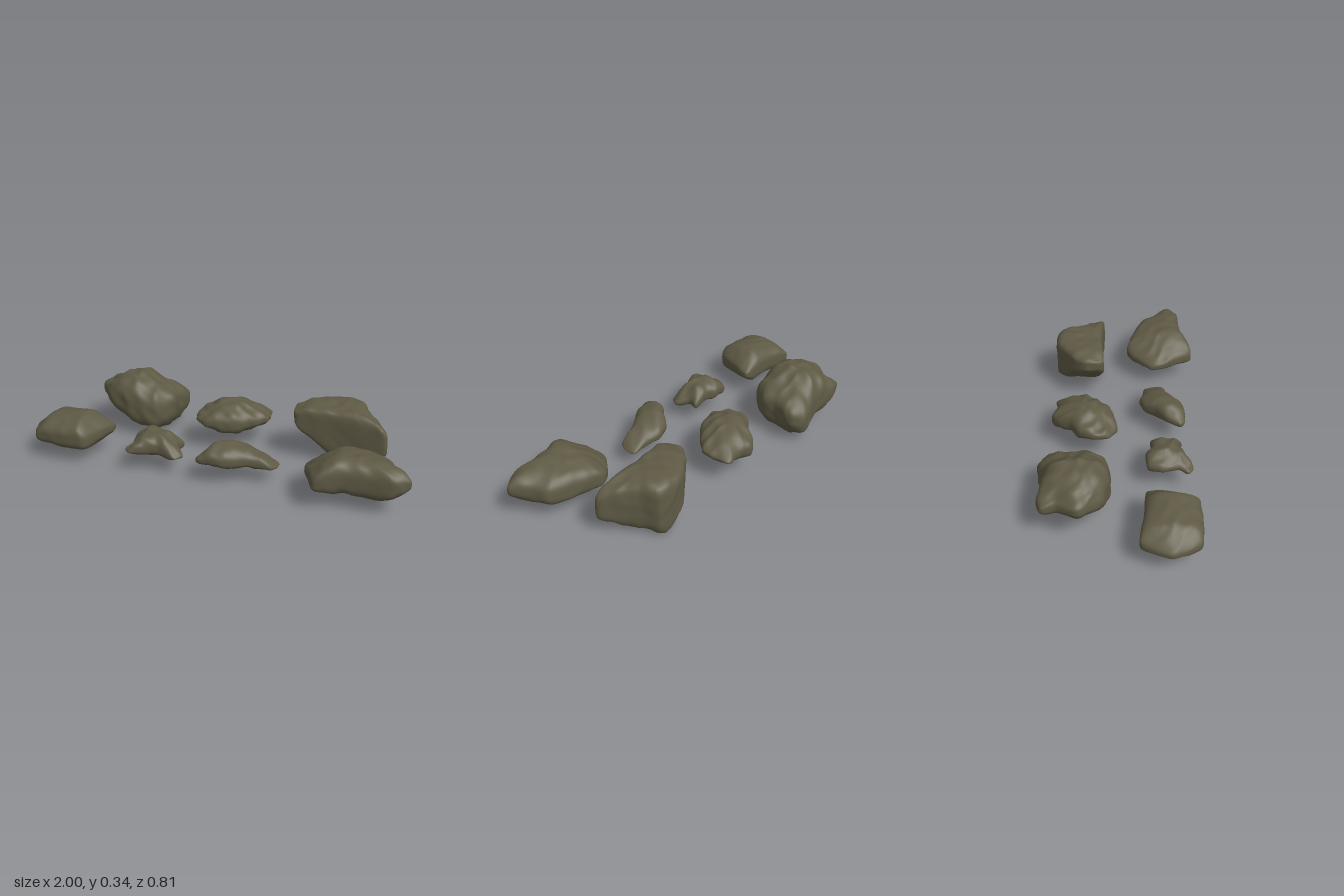
import * as THREE from 'three';
import { mergeVertices } from 'three/addons/utils/BufferGeometryUtils.js';

// Height at t along a few [position, height] points
function sample(points, t) {
  const i = Math.max(1, points.findIndex(([p], k) => k === points.length - 1 || t <= p));
  const [a, ya] = points[i - 1], [b, yb] = points[i];
  return THREE.MathUtils.lerp(ya, yb, THREE.MathUtils.clamp((t - a) / (b - a), 0, 1));
}

// Lumpy, ridged surface variation, roughly -1 to 1
function lumps(x, y, z) {
  const broad = Math.sin(19 * x + 7 * z + 2) * Math.sin(23 * z - 9 * x + 11 * y) + 0.5 * Math.sin(31 * y + 13 * x);
  const ridge = 1 - 2 * Math.abs(Math.sin(27 * x - 21 * z + 17 * y + 1.5 * Math.sin(21 * z + 9 * x)));
  const fine = Math.sin(61 * x + 35 * y) * Math.sin(57 * z - 41 * y + 1);
  return 0.45 * broad + 0.3 * ridge + 0.3 * fine;
}

// outline: plan corners [x, z]; top, bottom: heights along x;
// crest, slope: the top falls away either side of z = crest; square: boxiness of the edges
function rockGeometry({ outline, top, bottom, crest, slope, square, rough }) {
  const around = 96, rings = 40;
  const corners = outline.map(([x, z]) => new THREE.Vector3(x, 0, z));
  const rim = new THREE.CatmullRomCurve3(corners, true, 'catmullrom', 0.25).getSpacedPoints(around).slice(0, around);
  const centre = rim.reduce((sum, p) => sum.add(p), new THREE.Vector3()).divideScalar(around);
  const positions = [], index = [];
  for (let i = 0; i <= rings; i++) {
    // rounded-square section from the underside to the crown
    const angle = (i / rings - 0.5) * Math.PI;
    const c = i % rings ? Math.cos(angle) : 0, s = Math.sin(angle);
    const k = Math.pow(Math.pow(c, square) + Math.pow(Math.abs(s), square), -1 / square);
    const r = c * k, h = s * k;
    for (let j = 0; j < around; j++) {
      const x = centre.x + (rim[j].x - centre.x) * r;
      const z = centre.z + (rim[j].z - centre.z) * r;
      const low = sample(bottom, x);
      const fall = slope * (Math.hypot(z - crest, 0.05) - 0.05);
      const high = Math.max(low + 0.02, sample(top, x) - fall);
      const y = (high + low) / 2 + h * (high - low) / 2;
      const bump = 0.009 * rough * lumps(x, y, z);
      const spread = 1 + bump * 3 * r;
      positions.push(centre.x + (x - centre.x) * spread, Math.max(0, y + bump * h), centre.z + (z - centre.z) * spread);
      if (i < rings) {
        const a = i * around + j, b = i * around + (j + 1) % around;
        index.push(a, a + around, b, b, a + around, b + around);
      }
    }
  }
  const geometry = new THREE.BufferGeometry();
  geometry.setAttribute('position', new THREE.Float32BufferAttribute(positions, 3));
  geometry.setIndex(index);
  const merged = mergeVertices(geometry, 1e-5);
  merged.computeVertexNormals();
  return merged;
}

export function createModel() {
  const stone = new THREE.MeshStandardMaterial({ color: 0x5f5a45 });
  stone.name = 'mossy grey stone';
  const group = new THREE.Group();
  group.name = 'rocks';
  const addRock = (name, shape) => {
    const mesh = new THREE.Mesh(rockGeometry(shape), stone);
    mesh.name = name;
    group.add(mesh);
  };

  // Back row
  addRock('backRightBoulder', {
    outline: [[-0.78, -0.37], [-0.7, -0.39], [-0.57, -0.375], [-0.43, -0.41], [-0.365, -0.36], [-0.385, -0.24], [-0.375, -0.16], [-0.45, -0.065], [-0.6, -0.05], [-0.73, -0.09], [-0.82, -0.2], [-0.77, -0.3]],
    top: [[-0.82, 0.26], [-0.67, 0.325], [-0.58, 0.335], [-0.49, 0.285], [-0.37, 0.27]],
    bottom: [[-0.82, 0.17], [-0.6, 0.045], [-0.42, 0.02], [-0.37, 0.06]],
    crest: -0.18, slope: 0.32, square: 3.2, rough: 1.3,
  });
  addRock('backMiddleRock', {
    outline: [[-0.22, -0.13], [-0.19, -0.21], [-0.12, -0.26], [-0.09, -0.32], [-0.03, -0.36], [0.04, -0.33], [0.13, -0.34], [0.15, -0.19], [0.05, -0.08], [-0.02, -0.04], [-0.14, -0.015], [-0.21, -0.06]],
    top: [[-0.22, 0.215], [-0.1, 0.25], [0, 0.245], [0.15, 0.19]],
    bottom: [[-0.22, 0.13], [0, 0.075], [0.15, 0.12]],
    crest: -0.17, slope: 0.25, square: 2.8, rough: 1.5,
  });
  addRock('backLeftBoulder', {
    outline: [[0.305, -0.19], [0.35, -0.255], [0.47, -0.34], [0.57, -0.36], [0.64, -0.345], [0.68, -0.26], [0.8, -0.12], [0.79, -0.09], [0.55, -0.1], [0.34, -0.09], [0.315, -0.11]],
    top: [[0.31, 0.28], [0.4, 0.3], [0.63, 0.3], [0.76, 0.265], [0.8, 0.24]],
    bottom: [[0.31, 0.2], [0.5, 0.05], [0.6, 0], [0.8, 0.07]],
    crest: -0.2, slope: 0.03, square: 7, rough: 0.9,
  });

  // Front row
  addRock('frontRightRock', {
    outline: [[-0.935, 0.08], [-0.78, 0.1], [-0.6, 0.115], [-0.61, 0.2], [-0.65, 0.33], [-0.68, 0.36], [-0.8, 0.37], [-0.94, 0.355], [-1, 0.22]],
    top: [[-1, 0.15], [-0.9, 0.22], [-0.7, 0.24], [-0.6, 0.18]],
    bottom: [[-1, 0.09], [-0.8, 0.065], [-0.66, 0.06], [-0.6, 0.1]],
    crest: 0.22, slope: 0.22, square: 3.5, rough: 0.5,
  });
  addRock('frontRightSmallRock', {
    outline: [[-0.41, 0.13], [-0.33, 0.12], [-0.29, 0.145], [-0.19, 0.15], [-0.2, 0.2], [-0.155, 0.26], [-0.18, 0.31], [-0.28, 0.295], [-0.4, 0.355], [-0.44, 0.33], [-0.42, 0.28], [-0.44, 0.2]],
    top: [[-0.44, 0.17], [-0.36, 0.205], [-0.25, 0.195], [-0.16, 0.13]],
    bottom: [[-0.44, 0.1], [-0.2, 0.075], [-0.16, 0.085]],
    crest: 0.2, slope: 0.35, square: 2.8, rough: 1.3,
  });
  addRock('frontMiddleRock', {
    outline: [[-0.06, 0.31], [-0.03, 0.24], [0.03, 0.18], [0.08, 0.12], [0.15, 0.1], [0.22, 0.12], [0.31, 0.13], [0.325, 0.18], [0.3, 0.23], [0.2, 0.255], [0.08, 0.33], [-0.03, 0.335]],
    top: [[-0.06, 0.17], [0.02, 0.215], [0.12, 0.19], [0.25, 0.15], [0.325, 0.1]],
    bottom: [[-0.06, 0.09], [0.1, 0.08], [0.325, 0.07]],
    crest: 0.22, slope: 0.3, square: 2.8, rough: 0.9,
  });
  addRock('frontLeftBoulder', {
    outline: [[0.47, 0.22], [0.475, 0.165], [0.57, 0.06], [0.62, 0.04], [0.78, 0.085], [0.89, 0.13], [0.92, 0.19], [1, 0.29], [0.93, 0.345], [0.82, 0.345], [0.69, 0.36], [0.56, 0.405], [0.49, 0.28]],
    top: [[0.47, 0.17], [0.64, 0.26], [0.75, 0.26], [0.96, 0.24], [1, 0.22]],
    bottom: [[0.47, 0.09], [0.8, 0.06], [0.92, 0.07], [1, 0.11]],
    crest: 0.28, slope: 0.22, square: 3.4, rough: 0.7,
  });
  return group;
}
